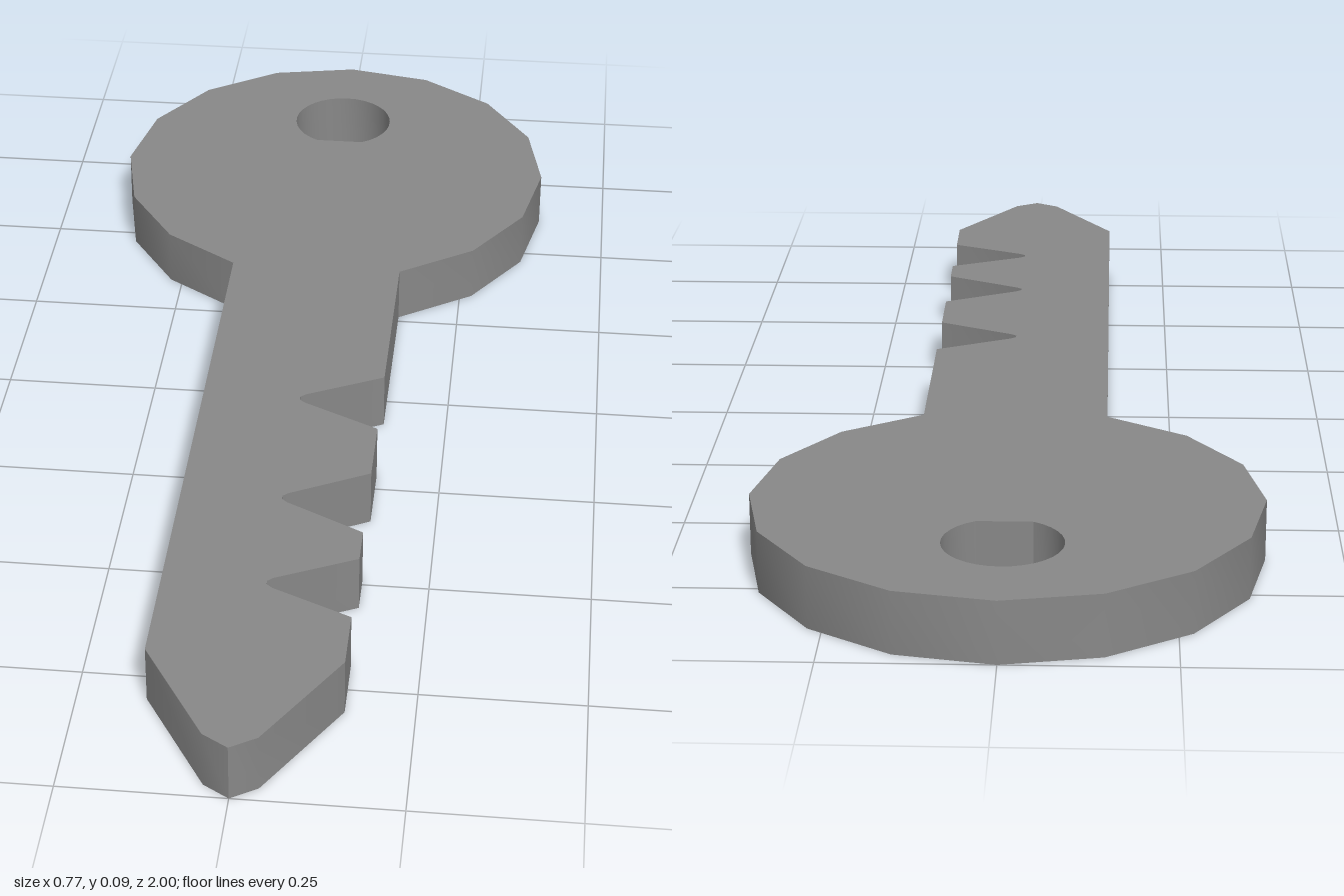
import * as THREE from 'three';
import { toCreasedNormals } from 'three/addons/utils/BufferGeometryUtils.js';

const THICKNESS = 0.095;
const HALF_SHAFT = 0.146;
const HEAD_RADIUS = 0.383;
const HEAD_Z = -0.617;

// Outline in plan, as [x, z]
function keyOutline() {
  const points = [];

  // Round head: a 16-sided circle, open where the shaft joins it
  for (let i = -7; i <= 7; i++) {
    const a = (i * Math.PI) / 8;
    points.push([HEAD_RADIUS * Math.sin(a), HEAD_Z - HEAD_RADIUS * Math.cos(a)]);
  }

  // Notches along the left edge: start, valley and end along z
  for (const [start, valley, end] of [
    [0.067, 0.141, 0.215],
    [0.337, 0.414, 0.491],
    [0.557, 0.628, 0.697],
  ]) {
    points.push(
      [HALF_SHAFT, start],
      [0.022, valley - 0.012],
      [0.013, valley - 0.004],
      [0.013, valley + 0.004],
      [0.022, valley + 0.012],
      [HALF_SHAFT, end]
    );
  }

  // Pointed tip with a blunt end
  points.push([HALF_SHAFT, 0.8], [0.04, 0.975], [0, 1], [-0.04, 0.975], [-HALF_SHAFT, 0.8]);
  return points.map(([x, z]) => new THREE.Vector2(x, -z));
}

export function createModel() {
  const group = new THREE.Group();
  group.name = 'key';

  const shape = new THREE.Shape(keyOutline());

  // Ring hole, flattened on the side facing the shaft
  const hole = new THREE.Path();
  const flat = THREE.MathUtils.degToRad(28);
  hole.absarc(0, 0.792, 0.089, -Math.PI / 2 + flat, 1.5 * Math.PI - flat, false);
  hole.closePath();
  shape.holes.push(hole);

  // Flat plate, laid down with its underside on the ground
  const plate = new THREE.ExtrudeGeometry(shape, {
    depth: THICKNESS,
    bevelEnabled: false,
    curveSegments: 14,
  });
  plate.rotateX(-Math.PI / 2);

  const body = new THREE.Mesh(
    toCreasedNormals(plate, THREE.MathUtils.degToRad(30)),
    new THREE.MeshStandardMaterial({ color: 0x888888 })
  );
  body.name = 'keyPlate';
  group.add(body);
  return group;
}
